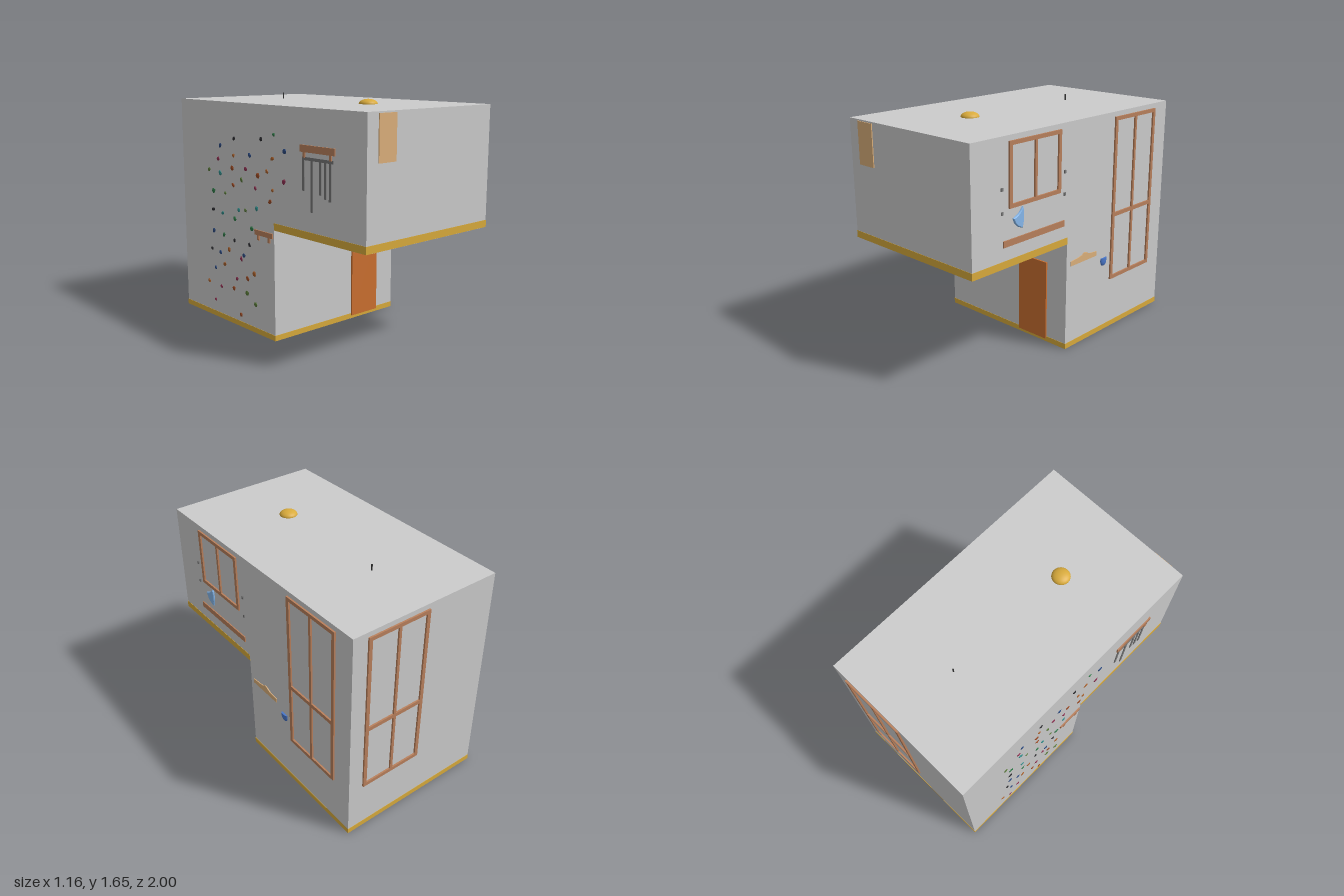
import * as THREE from 'three';

const mat = (color, extra = {}) => new THREE.MeshStandardMaterial({ color, ...extra });
const GREY = mat(0xcccccc), BROWN = mat(0xb9805c), YELLOW = mat(0xd9ab3c), ORANGE = mat(0xcb7030);
const TAN = mat(0xdcb07c), BLUE = mat(0x4a78cc), SKY = mat(0x86b8ec), DARK = mat(0x333333), STEEL = mat(0x777777);

function add(parent, name, geometry, material, x = 0, y = 0, z = 0) {
  const mesh = new THREE.Mesh(geometry, material);
  mesh.name = name;
  mesh.position.set(x, y, z);
  parent.add(mesh);
  return mesh;
}

// Box given by its minimum and maximum corners
function box(parent, name, material, [x0, y0, z0], [x1, y1, z1]) {
  return add(parent, name, new THREE.BoxGeometry(x1 - x0, y1 - y0, z1 - z0), material,
    (x0 + x1) / 2, (y0 + y1) / 2, (z0 + z1) / 2);
}

// Wall space: local x runs along the wall, y is up, z points out of the wall
function wall(parent, name, angle, x, z) {
  const g = new THREE.Group();
  g.name = name;
  g.position.set(x, 0, z);
  g.rotation.y = angle;
  parent.add(g);
  return g;
}

// Framed window with a centre mullion and an optional transom
function addWindow(parent, name, x0, x1, y0, y1, transom) {
  const rect = (P, a, b, c, d) => new P([[a, c], [b, c], [b, d], [a, d]].map(p => new THREE.Vector2(...p)));
  const frame = rect(THREE.Shape, x0, x1, y0, y1);
  const t = 0.026, h = 0.01, mid = (x0 + x1) / 2;
  const rows = transom ? [[y0 + t, transom - 0.014], [transom + 0.014, y1 - t]] : [[y0 + t, y1 - t]];
  for (const [a, b] of rows) {
    frame.holes.push(rect(THREE.Path, x0 + t, mid - h, a, b), rect(THREE.Path, mid + h, x1 - t, a, b));
  }
  add(parent, name, new THREE.ExtrudeGeometry(frame, { depth: 0.012, bevelEnabled: false }), BROWN);
}

// Shelf or rail held by two little end pegs
function addRail(parent, name, x0, x1, y0, y1) {
  box(parent, name, BROWN, [x0, y0, 0], [x1, y1, 0.009]);
  for (const x of [x0 + 0.03, x1 - 0.05]) box(parent, name + 'Peg', BROWN, [x, y0 - 0.035, 0], [x + 0.02, y0, 0.009]);
}

// Climbing hold positions on the wall: along, up
const HOLDS = [
  .13, 1.42, -.01, 1.38, .24, 1.32, .11, 1.26, -.32, 1.36, -.14, 1.26, .05, 1.17, .23, 1.12, -.49, 1.30, -.33, 1.24,
  -.19, 1.16, -.05, 1.13, .11, 1.05, -.52, 1.20, -.35, 1.15, -.24, 1.08, -.08, 1.04, .08, .97, -.64, 1.11, -.50, 1.10,
  -.34, 1.03, -.20, .87, -.07, .90, -.59, .96, -.44, .96, -.28, .86, -.13, .75, -.60, .82, -.48, .81, -.33, .79,
  -.16, .63, -.60, .66, -.47, .65, -.34, .63, -.23, .54, -.11, .43, -.63, .52, -.52, .51, -.41, .55, -.26, .51,
  -.59, .38, -.47, .43, -.32, .35, -.19, .38, -.68, .26, -.52, .25, -.36, .27, -.20, .27, -.60, .13, -.28, .09, -.10, .21,
];

export function createModel() {
  const model = new THREE.Group();
  model.name = 'room';

  // Room body with the overhanging upper front
  const profile = new THREE.Shape([[-.99, 0], [.12, 0], [.12, .78], [.99, .78], [.99, 1.61], [-.99, 1.61]]
    .map(p => new THREE.Vector2(...p)));
  const body = new THREE.ExtrudeGeometry(profile, { depth: 1.14, bevelEnabled: false });
  body.rotateY(-Math.PI / 2);
  add(model, 'roomBody', body, GREY, 0.567);

  // Skirting bands
  box(model, 'lowerSkirting', YELLOW, [-.575, .001, -.992], [.569, .04, .122]);
  box(model, 'upperSkirting', YELLOW, [-.575, .781, .12], [.569, .83, .992]);

  // Front: door and hanging panel
  box(model, 'door', ORANGE, [.14, .025, .11], [.395, .605, .132]);
  box(model, 'hangingPanel', TAN, [-.482, 1.31, .98], [-.335, 1.6, .997]);

  // Roof: lamp dome and peg
  const dome = add(model, 'lampDome', new THREE.SphereGeometry(0.063, 24, 10, 0, Math.PI * 2, 0, Math.PI / 2),
    YELLOW, -.017, 1.61, .437);
  dome.scale.y = 0.53;
  add(model, 'roofPeg', new THREE.CylinderGeometry(0.005, 0.005, 0.045, 8), DARK, .012, 1.63, -.497);

  // Window side
  const left = wall(model, 'windowSide', Math.PI / 2, .567, 0);
  addWindow(left, 'smallWindow', -.68, -.205, 1.16, 1.575);
  addWindow(left, 'tallWindow', .365, .838, .383, 1.575, .873);
  box(left, 'longShelf', BROWN, [-.73, .92, 0], [-.16, .962, .008]);
  for (const x of [-.738, -.157]) {
    for (const y of [1.14, 1.29]) box(left, 'curtainBracket', STEEL, [x - .008, y - .011, 0], [x + .008, y + .011, .006]);
  }
  const board = new THREE.Shape([[-.08, .612], [.2, .612], [.2, .645], [.12, .652], [.09, .668], [.065, .674],
    [.04, .66], [0, .652], [-.08, .645]].map(p => new THREE.Vector2(...p)));
  add(left, 'shapedShelf', new THREE.ExtrudeGeometry(board, { depth: 0.006, bevelEnabled: false }), TAN);

  // Wall lamps
  const shade = new THREE.Shape();
  shade.moveTo(-.636, 1.085);
  shade.quadraticCurveTo(-.585, 1.1, -.562, 1.14);
  shade.quadraticCurveTo(-.55, 1.08, -.568, 1.022);
  shade.quadraticCurveTo(-.62, 1.035, -.636, 1.085);
  add(left, 'wallLamp', new THREE.ExtrudeGeometry(shade,
    { depth: 0.002, bevelThickness: 0.011, bevelSize: 0.008, bevelSegments: 4, curveSegments: 10 }), SKY);
  const cup = add(left, 'cupLamp', new THREE.SphereGeometry(0.033, 20, 10, 0, Math.PI * 2, Math.PI / 2, Math.PI / 2),
    BLUE, .288, .55, 0);
  cup.scale.set(1, 1.2, 0.45);
  const rim = add(left, 'cupLampRim', new THREE.CylinderGeometry(0.033, 0.033, 0.022, 20), BLUE, .288, .56, 0);
  rim.scale.z = 0.45;

  // Back window
  const back = wall(model, 'backSide', Math.PI, 0, -.99);
  addWindow(back, 'backWindow', -.457, .018, .383, 1.575, .873);

  // Climbing side: holds of varied size, turn and colour
  const right = wall(model, 'climbingSide', -Math.PI / 2, -.573, 0);
  const paints = [0x2f7a48, 0x9a4a24, 0x2c4a80, 0x2f8a88, 0x8c2f50, 0x2a2a2e, 0x5a7a3a, 0xa8602c]
    .map(c => mat(c, { flatShading: true }));
  const stone = new THREE.IcosahedronGeometry(0.018, 0);
  for (let i = 0; i < HOLDS.length / 2; i++) {
    const hold = add(right, 'climbingHold', stone, paints[(i * 5 + (i >> 2)) % 8], HOLDS[2 * i], HOLDS[2 * i + 1], 0);
    hold.scale.set(0.8 + (i % 3) * 0.2, 0.75 + (i % 4) * 0.15, 0.45);
    hold.rotation.z = i * 1.7;
  }

  // Coat rack with hanging straps, and the small shelf
  addRail(right, 'coatRail', .4, .725, 1.335, 1.38);
  box(right, 'strapBar', STEEL, [.42, 1.285, 0], [.71, 1.305, .006]);
  for (const [x, bottom] of [[.43, 1.09], [.51, .96], [.59, 1.08], [.635, 1.06], [.68, 1.05]]) {
    box(right, 'hangingStrap', STEEL, [x - .01, bottom, 0], [x + .01, 1.295, .005]);
  }
  addRail(right, 'smallShelf', -.09, .11, .72, .755);

  return model;
}
